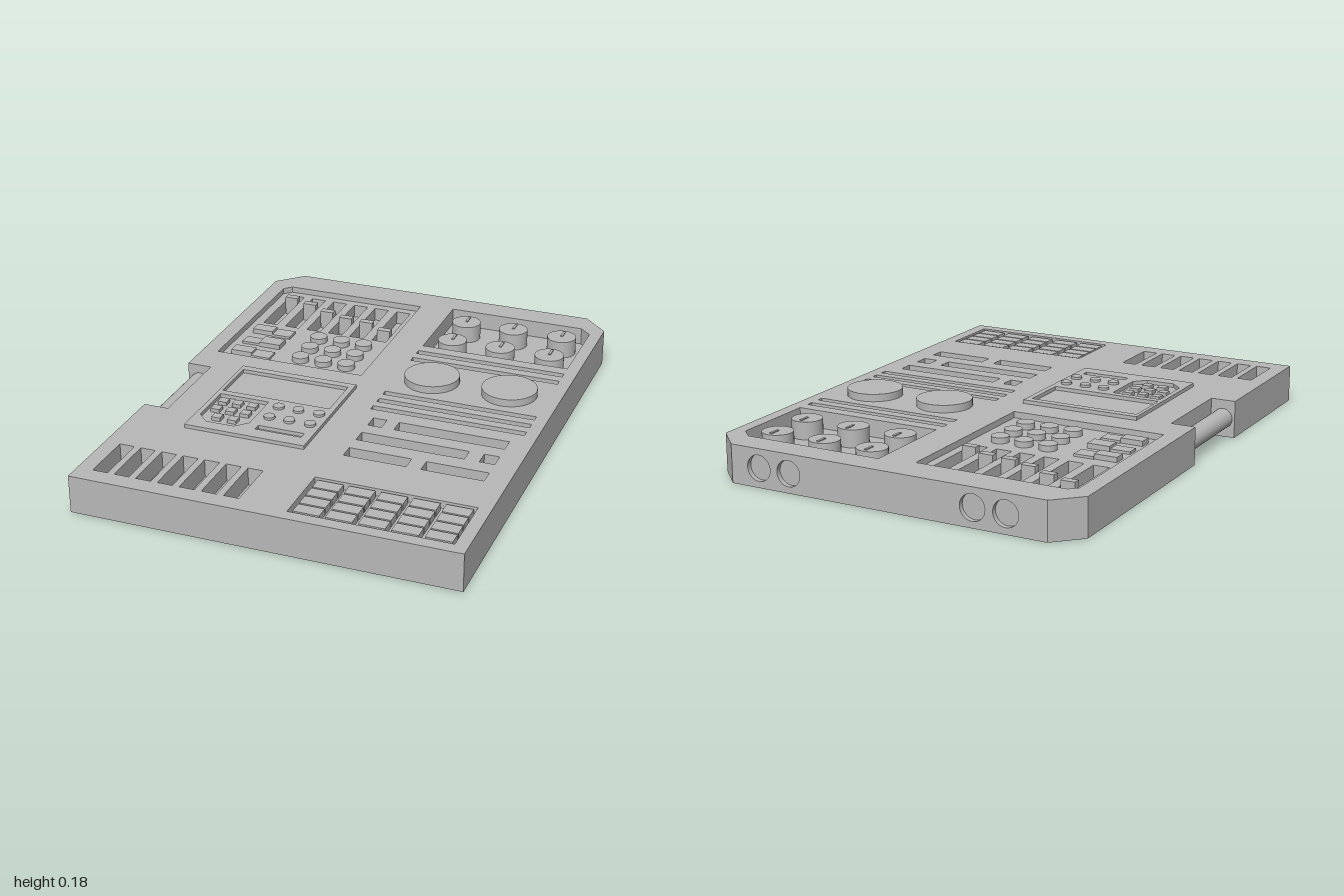
import * as THREE from 'three';

const TOP = 0.15, FLOOR = 0.07;

// Plan outlines are given as [x, z] points
const poly = pts => pts.map(([x, z]) => new THREE.Vector2(x, -z));
const rect = (x0, x1, z0, z1) => poly([[x0, z1], [x1, z1], [x1, z0], [x0, z0]]);

export function createModel() {
  const group = new THREE.Group();
  group.name = 'controlPanel';
  const grey = new THREE.MeshStandardMaterial({ color: 0xb8b8b8 });
  grey.name = 'panel grey';

  const add = (name, geo) => {
    const mesh = new THREE.Mesh(geo, grey);
    mesh.name = name;
    group.add(mesh);
    return mesh;
  };
  // Flat plate from y0 to y1 with holes cut straight through
  const plate = (name, outline, y0, y1, holes = []) => {
    const shape = new THREE.Shape(outline);
    shape.holes = holes.map(h => new THREE.Path(h));
    const geo = new THREE.ExtrudeGeometry(shape, { depth: y1 - y0, bevelEnabled: false });
    geo.rotateX(-Math.PI / 2).translate(0, y0, 0);
    return add(name, geo);
  };
  const block = (name, x0, x1, z0, z1, y0, y1) => {
    const geo = new THREE.BoxGeometry(x1 - x0, y1 - y0, z1 - z0);
    add(name, geo.translate((x0 + x1) / 2, (y0 + y1) / 2, (z0 + z1) / 2));
  };
  const disc = (name, x, z, r, y0, y1, sides = 32) => {
    const geo = new THREE.CylinderGeometry(r, r, y1 - y0, sides);
    add(name, geo.translate(x, (y0 + y1) / 2, z));
  };

  // Recesses in the deck, each with its floor height and any deeper slots
  const recesses = [];
  const recess = (name, outline, floor, slots = []) => recesses.push({ name, outline, floor, slots });

  const faderX = [-0.615, -0.515, -0.415, -0.317, -0.22, -0.12];
  const faderSlots = faderX.map(x => rect(x - 0.031, x + 0.031, -0.83, -0.523));
  recess('mixerFloor', poly([[-0.685, -0.145], [-0.055, -0.145], [-0.055, -0.865],
    [-0.655, -0.865], [-0.685, -0.835]]), 0.125, faderSlots);
  recess('knobWellFloor', poly([[0.085, -0.495], [0.7, -0.495], [0.7, -0.845],
    [0.655, -0.89], [0.085, -0.89]]), 0.08);
  recess('keyTrayFloor', rect(0.085, 0.7, 0.69, 0.95), 0.12);
  for (const z of [-0.43, -0.36, -0.032, 0.035, 0.102])
    recess('grooveFloor', rect(0.083, 0.7, z - 0.014, z + 0.014), 0.11);
  for (const [x0, x1, z] of [[0.12, 0.175, 0.215], [0.225, 0.662, 0.215], [0.12, 0.545, 0.34],
    [0.603, 0.662, 0.34], [0.12, 0.365, 0.47], [0.422, 0.662, 0.47]])
    recess('slotFloor', rect(x0, x1, z - 0.031, z + 0.031), 0.11);
  for (let i = 0; i < 7; i++) {
    const x = -0.688 + i * 0.0867;
    recess('ventFloor', rect(x, x + 0.06, 0.715, 0.928), 0.08);
  }

  // Body: solid base and pierced deck, both notched for the handle
  const outline = poly([[-0.75, 1], [0.75, 1], [0.75, -0.9], [0.67, -0.98], [-0.67, -0.98],
    [-0.75, -0.9], [-0.75, 0], [-0.65, 0], [-0.65, 0.39], [-0.75, 0.39]]);
  const screenHole = rect(-0.505, -0.055, 0.002, 0.2);
  const padHole = poly([[-0.5, 0.23], [-0.5, 0.415], [-0.455, 0.46], [-0.34, 0.46],
    [-0.295, 0.415], [-0.295, 0.23]]);
  plate('base', outline, 0, FLOOR);
  plate('deck', outline, FLOOR, TOP, recesses.map(r => r.outline));
  for (const r of recesses) plate(r.name, r.outline, FLOOR, r.floor, r.slots);

  // Rear plate with four round ports
  const rear = new THREE.Shape([[-0.65, 0], [0.65, 0], [0.65, TOP], [-0.65, TOP]]
    .map(p => new THREE.Vector2(...p)));
  for (const x of [-0.49, -0.36, 0.4, 0.53])
    rear.holes.push(new THREE.Path().absarc(x, 0.075, 0.05, 0, Math.PI * 2, true));
  add('rearPorts', new THREE.ExtrudeGeometry(rear, { depth: 0.02, bevelEnabled: false, curveSegments: 24 })
    .translate(0, 0, -1));
  for (const s of [-1, 1])
    plate('rearCorner', poly([[s * 0.65, -1], [s * 0.67, -0.98], [s * 0.65, -0.98]]), 0, TOP);

  // Handle bar in the side notch
  add('handle', new THREE.CylinderGeometry(0.04, 0.04, 0.39, 32)
    .rotateX(Math.PI / 2).translate(-0.7, 0.075, 0.195));

  // Mixer: fader caps, rocker switches and round buttons
  const capZ = [-0.772, -0.735, -0.687, -0.655, -0.645, -0.592];
  faderX.forEach((x, i) => block('faderCap', x - 0.028, x + 0.028, capZ[i] - 0.015, capZ[i] + 0.015, FLOOR, 0.148));
  [-0.435, -0.327, -0.217].forEach((z, i) => {
    const split = i === 1 ? -0.565 : -0.555;
    block('switchLow', -0.645, split, z - 0.026, z + 0.026, 0.12, i === 1 ? 0.135 : 0.145);
    block('switchHigh', split, -0.475, z - 0.031, z + 0.031, 0.12, i === 1 ? 0.145 : 0.135);
  });
  for (const x of [-0.355, -0.255, -0.155])
    for (const z of [-0.435, -0.335, -0.235]) disc('roundButton', x, z, 0.035, 0.12, 0.148);

  // Six knobs with thin pointers
  for (const x of [0.18, 0.387, 0.597])
    for (const z of [-0.785, -0.595]) {
      disc('knob', x, z, 0.06, FLOOR, TOP);
      block('knobPointer', x - 0.005, x + 0.005, z - 0.045, z, TOP - 0.002, TOP + 0.004);
    }

  // Two large dials
  for (const x of [0.227, 0.547]) disc('dial', x, -0.195, 0.11, 0.14, 0.18, 48);

  // Key tray: five columns by four rows
  for (let i = 0; i < 5; i++)
    for (let j = 0; j < 4; j++) {
      const x = 0.1 + i * 0.122, z = 0.702 + j * 0.0605;
      block('trayKey', x, x + 0.1, z, z + 0.053, 0.11, 0.147);
    }

  // Raised display unit with sunken screen, keypad and bar
  plate('displayUnit', rect(-0.52, -0.032, -0.03, 0.513), TOP, 0.165,
    [screenHole, padHole, rect(-0.255, -0.067, 0.422, 0.453)]);
  for (const [z, xs] of [[0.275, [-0.465, -0.405, -0.343]], [0.34, [-0.465, -0.405, -0.343]],
    [0.403, [-0.433, -0.367]]])
    for (const x of xs) block('keypadKey', x - 0.018, x + 0.018, z - 0.018, z + 0.018, 0.145, 0.165);
  for (const x of [-0.24, -0.158, -0.073])
    for (const z of [0.26, 0.35]) disc('smallKnob', x, z, 0.022, 0.155, 0.175, 24);

  return group;
}
